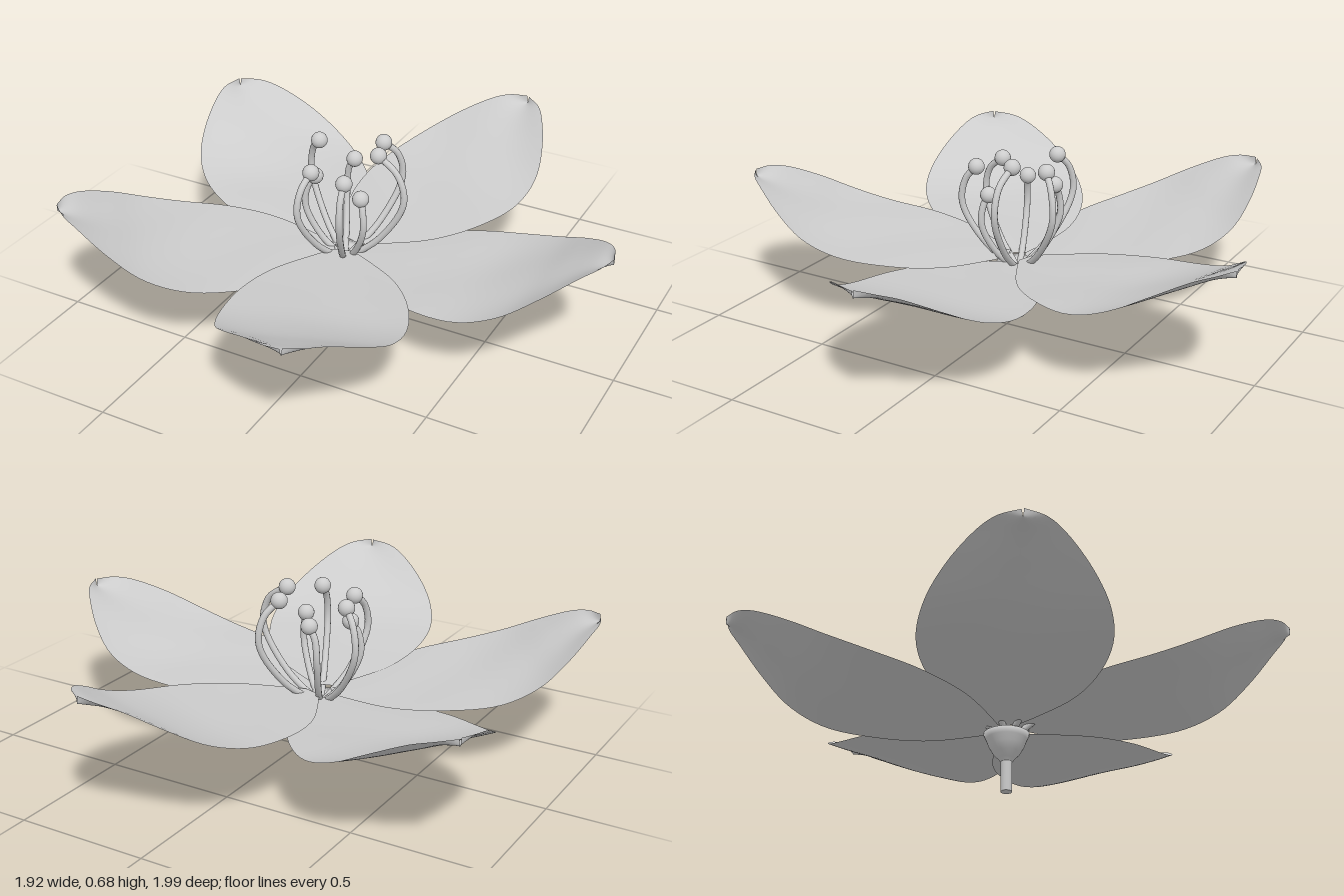
import * as THREE from 'three';

const CENTRE_X = -0.09;

// Petal sheet: (distance from centre, height, half width) along the midrib
function petalGeometry() {
  const rib = new THREE.CatmullRomCurve3([
    [0.04, 0.235, 0.035], [0.1, 0.24, 0.1], [0.24, 0.252, 0.225], [0.41, 0.268, 0.3],
    [0.6, 0.292, 0.326], [0.75, 0.338, 0.298], [0.87, 0.4, 0.228], [0.975, 0.457, 0.132],
    [1.02, 0.473, 0.075], [1.045, 0.48, 0.004],
  ].map((p) => new THREE.Vector3(...p)));
  const rows = 44, cols = 20, pos = [], index = [];
  for (let i = 0; i <= rows; i++) {
    const p = rib.getPoint(i / rows);
    for (let j = 0; j <= cols; j++) {
      const s = (j / cols) * 2 - 1;
      const lift = 0.018 * p.x ** 3 * s * s;
      const ripple = 0.004 * p.x * Math.sin(p.x * 11 + s * 4);
      pos.push(p.x, p.y + lift + ripple, s * p.z);
      if (i < rows && j < cols) {
        const a = i * (cols + 1) + j, b = a + cols + 1;
        index.push(a, a + 1, b, a + 1, b + 1, b);
      }
    }
  }
  const g = new THREE.BufferGeometry();
  g.setAttribute('position', new THREE.Float32BufferAttribute(pos, 3));
  g.setIndex(index);
  g.computeVertexNormals();
  return g;
}

export function createModel() {
  const model = new THREE.Group();
  model.name = 'flower';
  const grey = new THREE.MeshStandardMaterial({ color: 0xcccccc, side: THREE.DoubleSide });
  grey.name = 'pale grey';
  const flower = new THREE.Group();
  flower.name = 'blossom';
  flower.position.x = CENTRE_X;
  model.add(flower);
  const add = (name, geometry) => {
    const mesh = new THREE.Mesh(geometry, grey);
    mesh.name = name;
    flower.add(mesh);
    return mesh;
  };

  // Five overlapping petals, each with its own layer height
  const petal = petalGeometry();
  [0, 0.018, 0, 0.01, 0.018].forEach((layer, i) => {
    const mesh = add('petal' + (i + 1), petal);
    mesh.rotation.y = (i * Math.PI * 2) / 5;
    mesh.position.y = layer;
  });

  // Stem and flared cup
  const stem = add('stem', new THREE.CylinderGeometry(0.021, 0.021, 0.14, 20));
  stem.position.y = 0.07;
  const cup = [[0.021, 0.115], [0.03, 0.128], [0.05, 0.15], [0.066, 0.178], [0.075, 0.203],
    [0.085, 0.224], [0.068, 0.214], [0.03, 0.195], [0, 0.19]];
  add('cup', new THREE.LatheGeometry(cup.map((p) => new THREE.Vector2(...p)), 32));

  // Stamens: anther position, then where the filament bows out furthest (x, z)
  const stamens = [
    [0.03, 0.645, -0.04, 0.14, -0.03],
    [-0.01, 0.635, -0.16, 0.042, -0.215],
    [-0.12, 0.55, -0.135, -0.155, -0.14],
    [-0.24, 0.625, -0.08, -0.298, -0.118],
    [-0.2, 0.535, 0.025, -0.232, 0.045],
    [-0.165, 0.6, 0.115, -0.178, 0.197],
    [-0.015, 0.605, 0.14, -0.005, 0.197],
    [0.015, 0.515, 0.07, 0.035, 0.088],
  ];
  const ball = new THREE.SphereGeometry(0.031, 20, 14);
  stamens.forEach(([x, y, z, bx, bz], i) => {
    const ax = x - CENTRE_X, ox = bx - CENTRE_X, h = y - 0.2;
    const path = new THREE.CatmullRomCurve3([
      new THREE.Vector3(0, 0.19, 0),
      new THREE.Vector3(ox * 0.6, 0.2 + h * 0.25, bz * 0.6),
      new THREE.Vector3(ox, 0.2 + h * 0.63, bz),
      new THREE.Vector3(ox * 0.75 + ax * 0.25, 0.2 + h * 0.87, bz * 0.75 + z * 0.25),
      new THREE.Vector3(ax, y, z),
    ]);
    add('filament' + (i + 1), new THREE.TubeGeometry(path, 28, 0.0125, 10));
    add('anther' + (i + 1), ball).position.set(ax, y, z);
  });
  return model;
}
